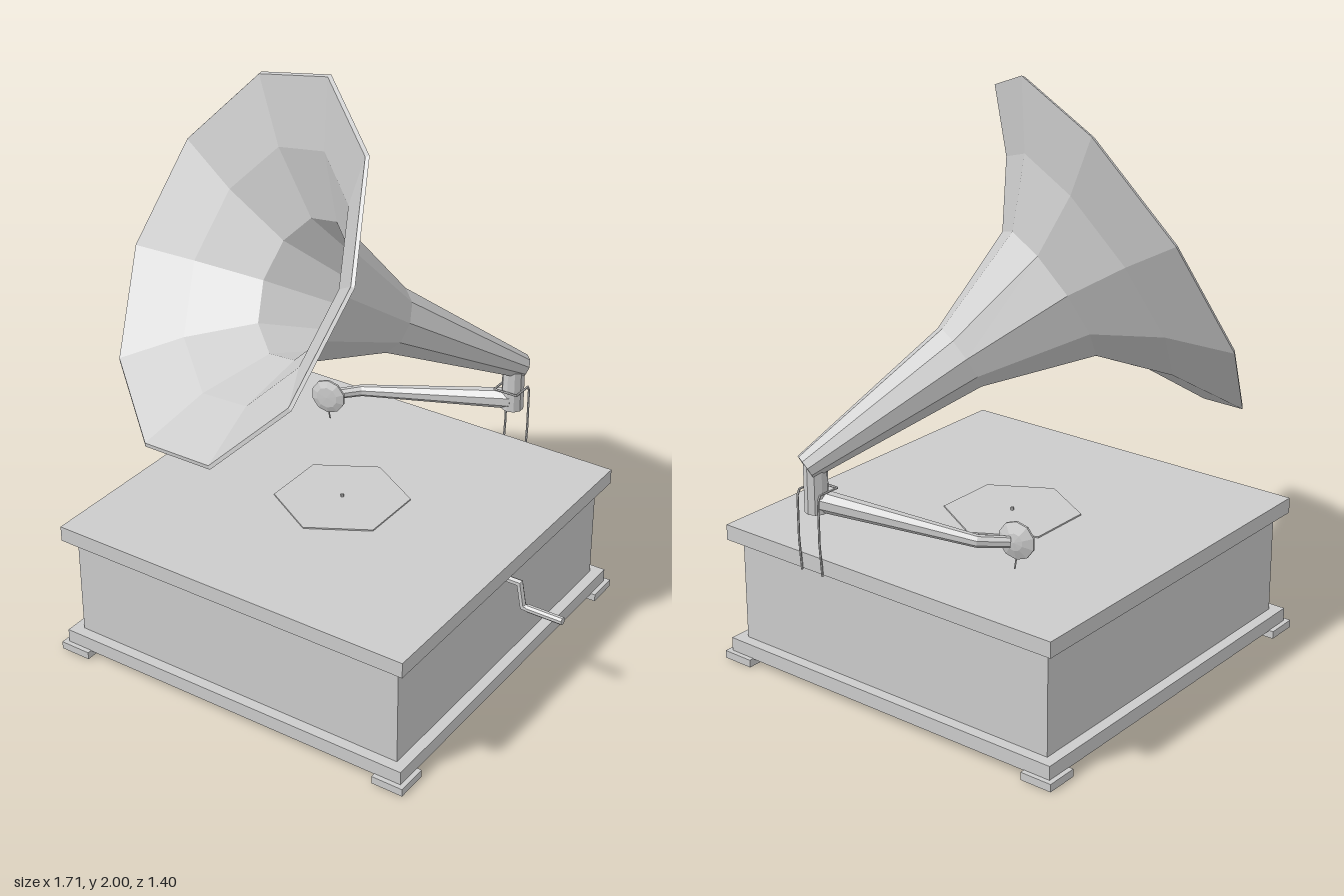
import * as THREE from 'three';

const material = new THREE.MeshStandardMaterial({ color: 0xcccccc, flatShading: true });
const V = (x, y, z) => new THREE.Vector3(x, y, z);

export function createModel() {
  const model = new THREE.Group();
  model.name = 'gramophone';

  function add(name, geometry, x = 0, y = 0, z = 0) {
    const mesh = new THREE.Mesh(geometry, material);
    mesh.name = name;
    mesh.position.set(x, y, z);
    model.add(mesh);
    return mesh;
  }

  // Box given by its centre in plan and its bottom and top heights
  const slab = (name, w, y0, y1, d, x, z) =>
    add(name, new THREE.BoxGeometry(w, y1 - y0, d), x, (y0 + y1) / 2, z);

  // Capped, mitred sweep; ref is a direction never parallel to the path
  function sweep(name, points, radii, sides, ref) {
    const pos = [], index = [], last = points.length - 1;
    points.forEach((p, i) => {
      const before = i > 0 ? p.clone().sub(points[i - 1]).normalize() : V(0, 0, 0);
      const after = i < last ? points[i + 1].clone().sub(p).normalize() : V(0, 0, 0);
      const t = before.clone().add(after).normalize();
      const b = t.clone().cross(ref).normalize();
      const a = b.clone().cross(t);
      // widen b, which lies in the plane of the bend, to keep the thickness
      const mitre = 1 / Math.max(0.5, t.dot(i < last ? after : before));
      const r = Array.isArray(radii) ? radii[i] : radii;
      for (let j = 0; j < sides; j++) {
        const ang = ((j + 0.5) / sides) * Math.PI * 2;
        const v = p.clone().addScaledVector(a, r * Math.cos(ang))
          .addScaledVector(b, r * mitre * Math.sin(ang));
        pos.push(v.x, v.y, v.z);
      }
    });
    for (let i = 0; i < last; i++) {
      for (let j = 0; j < sides; j++) {
        const k = (j + 1) % sides, m = i * sides, n = m + sides;
        index.push(m + j, m + k, n + j, m + k, n + k, n + j);
      }
    }
    for (let j = 1; j < sides - 1; j++) {
      const e = last * sides;
      index.push(0, j + 1, j, e, e + j, e + j + 1);
    }
    let g = new THREE.BufferGeometry();
    g.setAttribute('position', new THREE.Float32BufferAttribute(pos, 3));
    g.setIndex(index);
    g = g.toNonIndexed();
    g.computeVertexNormals();
    return add(name, g);
  }

  // Cabinet
  const cx = -0.014;
  slab('cabinetBody', 1.28, 0.07, 0.445, 1.28, cx, 0);
  slab('cabinetTop', 1.357, 0.44, 0.495, 1.357, cx, 0);
  slab('cabinetPlinth', 1.357, 0.025, 0.075, 1.357, cx, 0);
  for (const sx of [-1, 1]) {
    for (const sz of [-1, 1]) {
      slab('foot', 0.115, 0, 0.027, 0.115, cx + sx * 0.638, sz * 0.638);
    }
  }

  // Turntable and spindle
  add('turntable', new THREE.CylinderGeometry(0.234, 0.234, 0.008, 6), cx, 0.496, 0);
  add('spindle', new THREE.CylinderGeometry(0.006, 0.006, 0.02, 6), cx, 0.5, 0);

  // Crank on the left side
  sweep('crank', [V(0.6, 0.412, 0), V(0.688, 0.412, 0), V(0.704, 0.325, 0), V(0.74, 0.325, 0)],
    0.012, 6, V(0, 0, 1));
  sweep('crankHandle', [V(0.72, 0.325, 0), V(0.853, 0.325, 0)], 0.014, 8, V(0, 0, 1));

  // Horn: ten-sided flare, outer wall then inner wall, tilted 30 degrees and turned aside
  const axis = V(-0.433, 0.5, 0.75), up = V(0.25, 0.866, -0.433);
  const profile = [
    [0, -0.02], [0.045, -0.02], [0.119, 0.586], [0.255, 0.944], [0.452, 1.105], [0.673, 1.22],
    [0.662, 1.228], [0.442, 1.116], [0.245, 0.953], [0.109, 0.59], [0.035, 0.02], [0, 0.02],
  ].map(([r, s]) => new THREE.Vector2(r, s));
  const horn = add('horn', new THREE.LatheGeometry(profile, 10));
  horn.quaternion.setFromRotationMatrix(
    new THREE.Matrix4().makeBasis(axis.clone().cross(up), axis, up));
  horn.position.set(0.282, 0.807, -0.66);

  // Upright joint under the horn
  add('hornPost', new THREE.CylinderGeometry(0.04, 0.04, 0.165, 10), 0.277, 0.7225, -0.645);

  // Tone arm, tapering to the sound box
  sweep('toneArm',
    [V(0.275, 0.678, -0.64), V(-0.25, 0.622, -0.475), V(-0.325, 0.615, -0.405)],
    [0.038, 0.021, 0.019], 8, V(0, 1, 0));

  // Sound box: a shallow lens facing forward, with its needle
  const lens = [[0, -0.022], [0.03, -0.018], [0.065, -0.004], [0.065, 0.004], [0.04, 0.014], [0, 0.016]]
    .map(([r, y]) => new THREE.Vector2(r, y));
  const soundBox = add('soundBox', new THREE.LatheGeometry(lens, 10), -0.333, 0.615, -0.382);
  soundBox.rotation.set(Math.PI / 2, 0, -0.15);
  sweep('needle', [V(-0.333, 0.57, -0.38), V(-0.333, 0.52, -0.392)], 0.003, 5, V(1, 0, 0));

  // Wire bracket looping round the post and down to the back edge of the cabinet
  const wx = 0.272, half = 0.045;
  for (const s of [-1, 1]) {
    const x = wx + s * half;
    sweep('bracketWire',
      [V(x, 0.718, -0.6), V(x, 0.718, -0.68), V(x, 0.7, -0.69), V(x, 0.55, -0.69), V(x, 0.435, -0.681)],
      0.004, 6, V(1, 0, 0));
  }
  sweep('bracketBow', [V(wx - half, 0.718, -0.6), V(wx + half, 0.718, -0.6)], 0.004, 6, V(0, 1, 0));

  return model;
}
